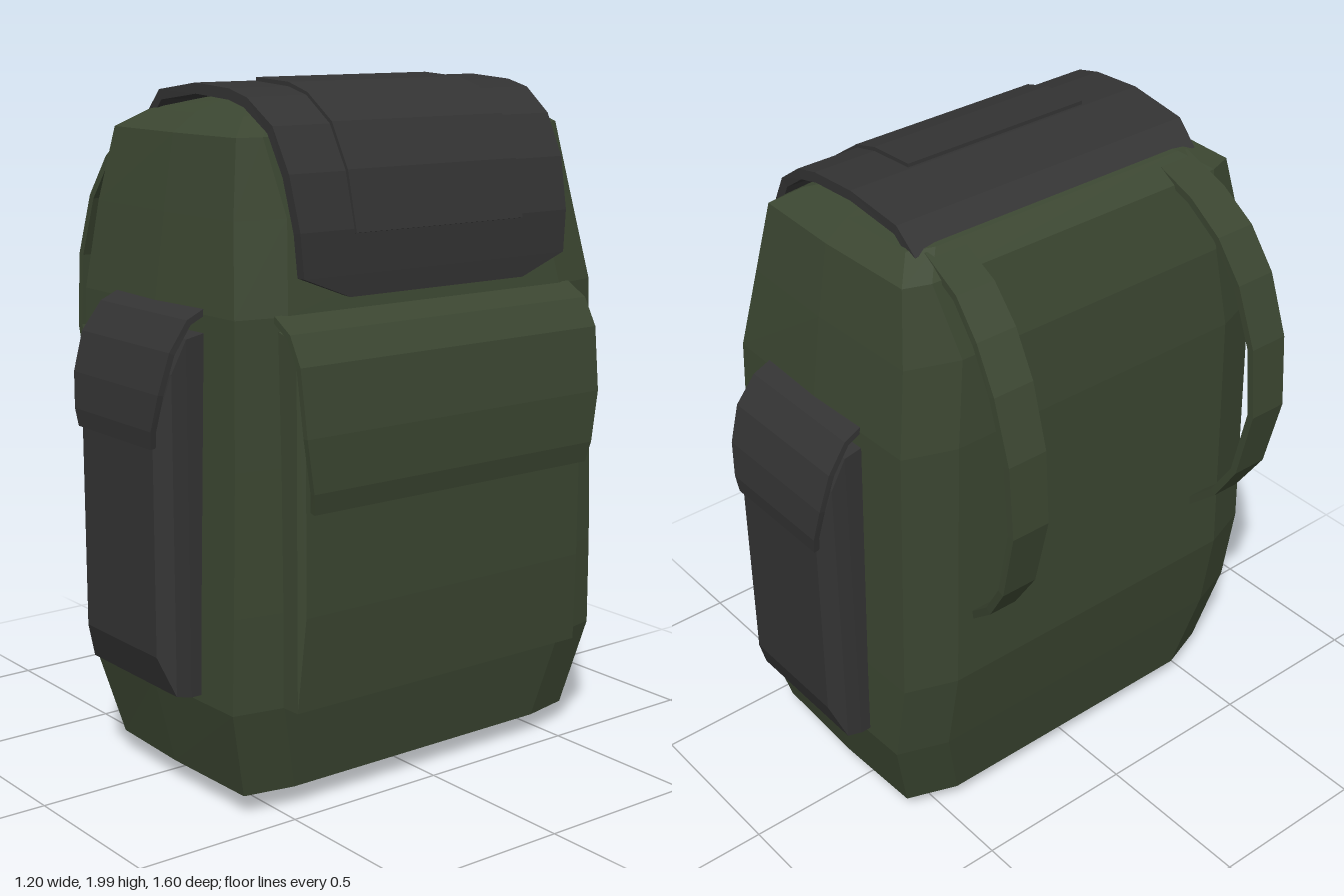
import * as THREE from 'three';

const green = new THREE.MeshStandardMaterial({ color: 0x3b4631, flatShading: true, side: THREE.DoubleSide });
const dark = new THREE.MeshStandardMaterial({ color: 0x333333, flatShading: true, side: THREE.DoubleSide });

// Skin a closed solid through rings of equal point count, with fan caps
function loft(name, rings, material) {
  const n = rings[0].length, last = (rings.length - 1) * n, index = [];
  for (let r = 0; r < last; r += n) {
    for (let i = 0; i < n; i++) {
      const a = r + i, b = r + (i + 1) % n;
      index.push(a, b, b + n, a, b + n, a + n);
    }
  }
  for (let i = 1; i < n - 1; i++) index.push(0, i + 1, i, last, last + i, last + i + 1);
  const geo = new THREE.BufferGeometry();
  geo.setAttribute('position', new THREE.Float32BufferAttribute(rings.flat(2), 3));
  geo.setIndex(index);
  const flat = geo.toNonIndexed();
  flat.computeVertexNormals();
  const mesh = new THREE.Mesh(flat, material);
  mesh.name = name;
  return mesh;
}

// Cloth strip along [x, y, halfWidth, zCentre] points on its outer surface
function strip(name, points, thickness, material) {
  const rings = points.map(([x, y, w, zc = 0], i) => {
    const p = points[Math.max(i - 1, 0)], q = points[Math.min(i + 1, points.length - 1)];
    const len = Math.hypot(q[0] - p[0], q[1] - p[1]);
    const ix = x + (q[1] - p[1]) / len * thickness, iy = y - (q[0] - p[0]) / len * thickness;
    return [[ix, iy, zc - w], [x, y, zc - w], [x, y, zc + w], [ix, iy, zc + w]];
  });
  return loft(name, rings, material);
}

// Bevelled pocket from [x, bottom, top, halfWidth] sections
function pocket(name, sections, material) {
  return loft(name, sections.map(([x, y0, y1, w]) =>
    [[x, y0, -w], [x, y1, -w], [x, y1, w], [x, y0, w]]), material);
}

export function createModel() {
  const model = new THREE.Group();
  model.name = 'backpack';

  // Main bag: [y, back x, front x, half depth], with chamfered corners
  const levels = [
    [0.01, -0.1, 0.25, 0.4], [0.02, -0.13, 0.3, 0.51], [0.07, -0.27, 0.43, 0.6],
    [0.33, -0.32, 0.475, 0.665], [0.6, -0.365, 0.478, 0.66], [1.0, -0.365, 0.475, 0.65],
    [1.4, -0.365, 0.465, 0.64], [1.65, -0.342, 0.415, 0.605],
    [1.86, -0.275, 0.365, 0.57], [1.91, -0.2, 0.3, 0.5], [1.945, -0.06, 0.2, 0.4],
  ];
  model.add(loft('bag', levels.map(([y, x0, x1, d], i) => {
    const soft = i < 2 || i > 7 ? 0.5 : 1;
    const bx = x0 + 0.055 * soft, fx = x1 - 0.03 * soft, z = d - 0.15 * soft, mx = 0.07;
    return [[x1, y, z], [x1, y, -z], [fx, y, -d], [mx, y, -d - 0.01], [bx, y, -d],
      [x0, y, -z], [x0, y, z], [bx, y, d], [mx, y, d + 0.01], [fx, y, d]];
  }), green));

  // Lid flap with clipped lower corners, and its raised centre panel
  model.add(strip('lid', [
    [-0.2, 1.9, 0.49], [-0.13, 1.965, 0.495], [0.06, 1.99, 0.5], [0.22, 1.98, 0.5],
    [0.3, 1.96, 0.5], [0.4, 1.89, 0.49], [0.465, 1.77, 0.485], [0.5, 1.62, 0.475],
    [0.503, 1.5, 0.465], [0.5, 1.44, 0.31],
  ], 0.03, dark));
  model.add(strip('lidPanel', [
    [0.07, 2.0, 0.305], [0.22, 1.992, 0.305], [0.305, 1.968, 0.305],
    [0.409, 1.896, 0.303], [0.474, 1.774, 0.3], [0.509, 1.61, 0.297],
  ], 0.012, dark));

  // Front pocket and flap
  model.add(pocket('frontPocket', [
    [0.44, 0.33, 1.37, 0.52], [0.535, 0.33, 1.34, 0.515], [0.555, 0.6, 1.28, 0.5],
  ], green));
  model.add(strip('frontPocketFlap', [
    [0.46, 1.405, 0.53], [0.53, 1.365, 0.532], [0.575, 1.285, 0.532],
    [0.598, 1.1, 0.527], [0.598, 0.95, 0.505], [0.585, 0.89, 0.495],
  ], 0.018, green));

  for (const side of [1, -1]) {
    // Side pocket and flap, drawn facing +x then turned to the side
    const group = new THREE.Group();
    group.name = side > 0 ? 'frontSidePocket' : 'backSidePocket';
    group.add(pocket('pocketBody', [
      [0.6, 0.35, 1.36, 0.22], [0.7, 0.35, 1.34, 0.22],
      [0.745, 0.36, 1.25, 0.215], [0.785, 0.47, 1.08, 0.18],
    ], dark));
    group.add(strip('pocketFlap', [
      [0.63, 1.42, 0.215], [0.695, 1.39, 0.217], [0.755, 1.31, 0.222],
      [0.788, 1.2, 0.215], [0.8, 1.1, 0.195], [0.795, 1.05, 0.185],
    ], 0.018, dark));
    group.position.x = 0.08;
    group.rotation.y = -side * Math.PI / 2;
    model.add(group);

    // Shoulder strap
    const path = [
      [-0.36, 0.795, 0.03, 0.42], [-0.47, 0.895, 0.045, 0.43], [-0.55, 1.02, 0.056, 0.438],
      [-0.6, 1.24, 0.06, 0.44], [-0.583, 1.46, 0.062, 0.438], [-0.52, 1.64, 0.064, 0.432],
      [-0.44, 1.76, 0.064, 0.422], [-0.34, 1.845, 0.062, 0.408], [-0.2, 1.905, 0.06, 0.4],
    ];
    model.add(strip(side > 0 ? 'frontShoulderStrap' : 'backShoulderStrap',
      path.map(([x, y, w, z]) => [x, y, w, z * side]), 0.022, green));
  }
  return model;
}
